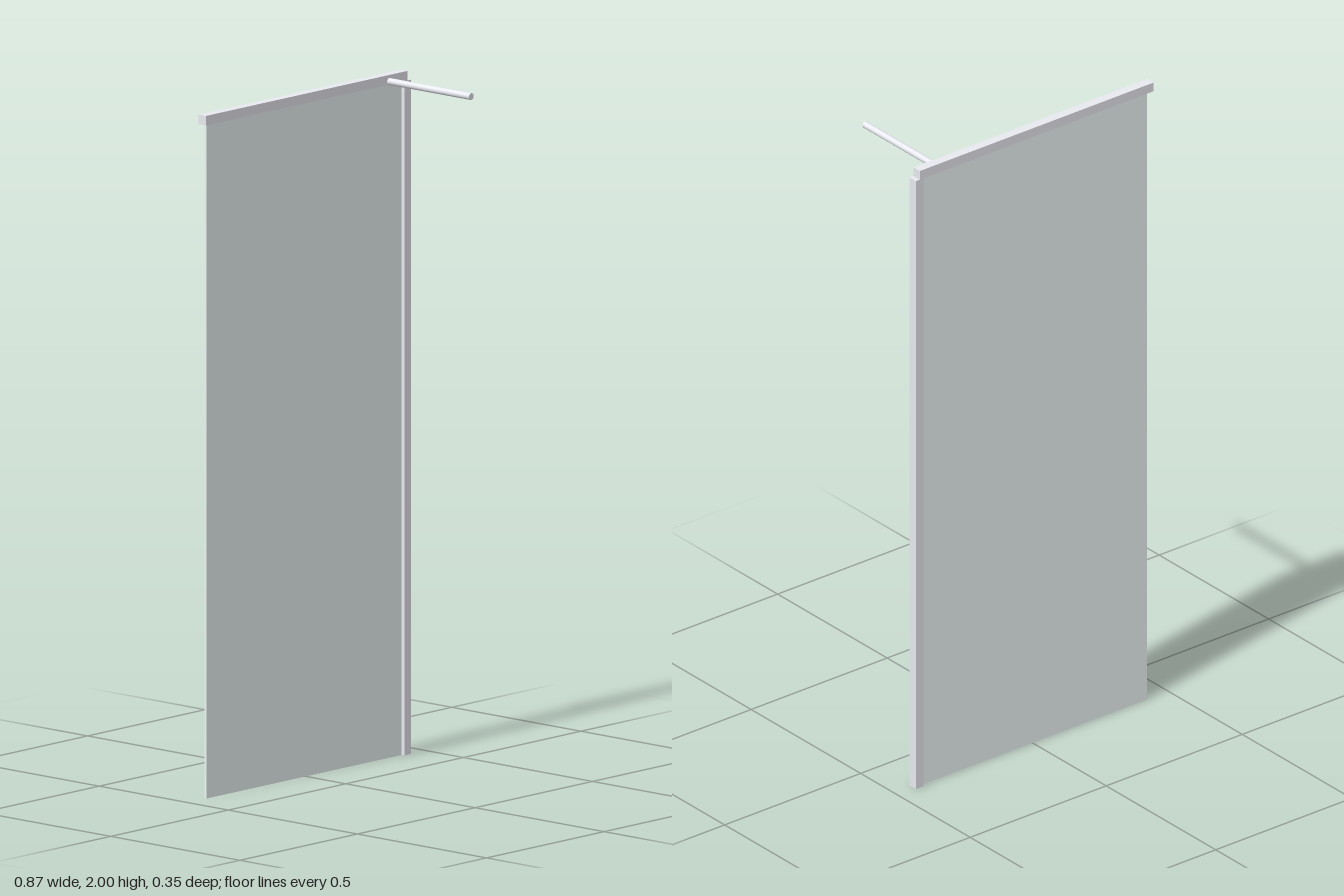
import * as THREE from 'three';

const BACK = -0.159; // depth of the screen plane

export function createModel() {
  const group = new THREE.Group();
  const metal = new THREE.MeshStandardMaterial({ color: 0xe9e9f1 });
  const glass = new THREE.MeshStandardMaterial({ color: 0xeef6f6 });

  // Box given by its x and y limits, centred on the screen plane
  const slab = (name, x0, x1, y0, y1, depth, material) => {
    const mesh = new THREE.Mesh(new THREE.BoxGeometry(x1 - x0, y1 - y0, depth), material);
    mesh.position.set((x0 + x1) / 2, (y0 + y1) / 2, BACK);
    mesh.name = name;
    group.add(mesh);
  };

  // Thin pane set into the rail and the wall profile
  slab('glassPanel', -0.422, 0.412, 0, 1.98, 0.008, glass);
  slab('topRail', -0.437, 0.422, 1.972, 2, 0.029, metal);
  slab('wallProfile', 0.408, 0.437, 0, 1.972, 0.029, metal);

  // Round stabilising arm reaching forward from the rail
  const start = -0.15, end = 0.173;
  const arm = new THREE.Mesh(new THREE.CylinderGeometry(0.01, 0.01, end - start, 32), metal);
  arm.rotation.x = Math.PI / 2;
  arm.position.set(0.344, 1.981, (start + end) / 2);
  arm.name = 'supportArm';
  group.add(arm);

  return group;
}
